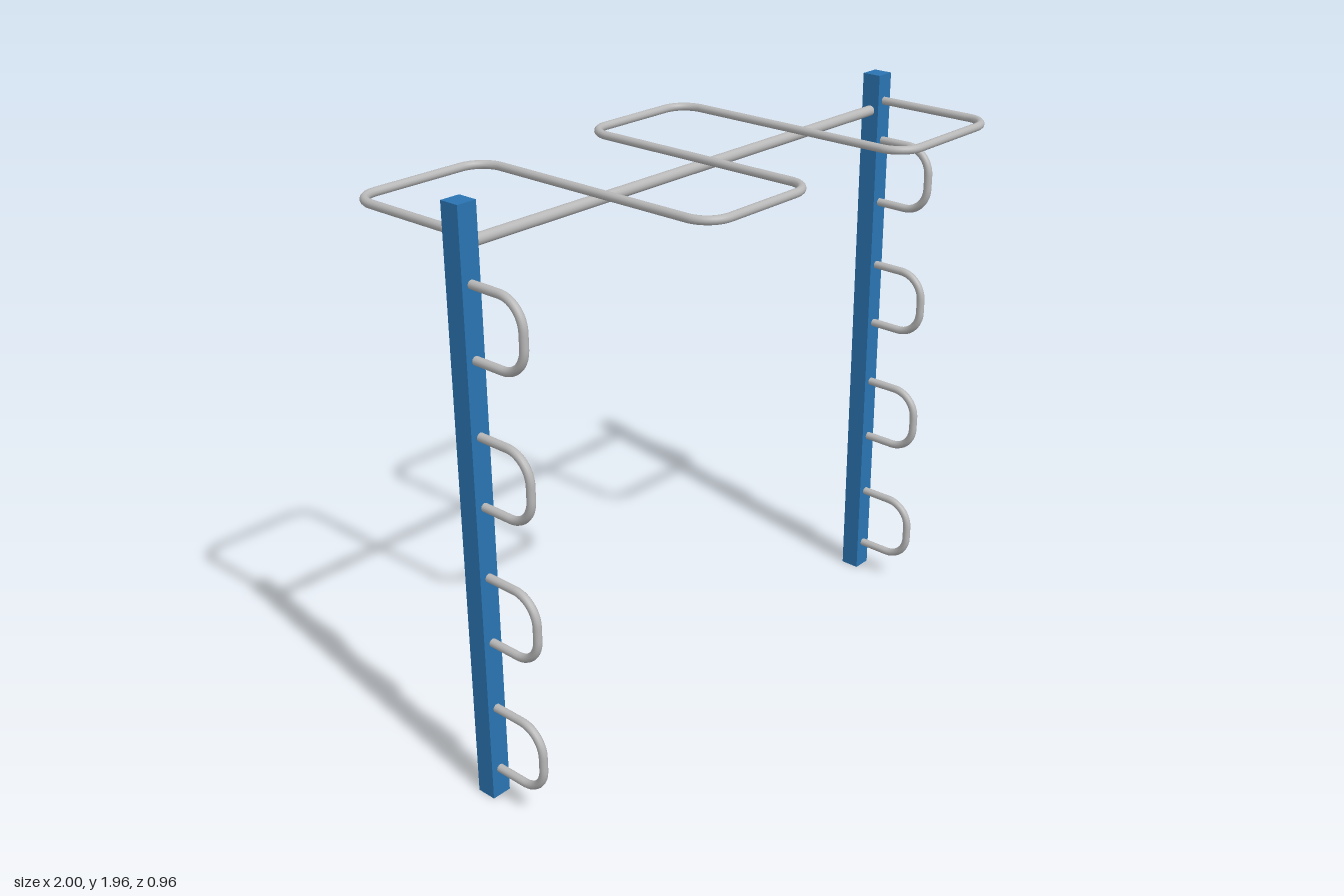
import * as THREE from 'three';

const POST_X = 0.966, POST_W = 0.068, POST_H = 1.955;

// Polyline with rounded corners of the given radius
function roundedPath(points, radius) {
  const path = new THREE.CurvePath();
  let last = points[0];
  for (let i = 1; i < points.length - 1; i++) {
    const p = points[i];
    const toPrev = points[i - 1].clone().sub(p).normalize();
    const toNext = points[i + 1].clone().sub(p).normalize();
    const at = (dir, d) => p.clone().addScaledVector(dir, d);
    const start = at(toPrev, radius), end = at(toNext, radius);
    const handle = radius * (1 - 0.5523);
    path.add(new THREE.LineCurve3(last, start));
    path.add(new THREE.CubicBezierCurve3(start, at(toPrev, handle), at(toNext, handle), end));
    last = end;
  }
  path.add(new THREE.LineCurve3(last, points[points.length - 1]));
  return path;
}

export function createModel() {
  const group = new THREE.Group();
  const blue = new THREE.MeshStandardMaterial({ name: 'bluePaint', color: 0x2a74b2 });
  const steel = new THREE.MeshStandardMaterial({ name: 'steel', color: 0xb8b8b8 });
  const v = (x, y, z) => new THREE.Vector3(x, y, z);

  const add = (name, geometry, material, x = 0, y = 0, z = 0) => {
    const mesh = new THREE.Mesh(geometry, material);
    mesh.name = name;
    mesh.position.set(x, y, z);
    group.add(mesh);
    return mesh;
  };

  // Two square posts, each with four climbing loops on the front
  const post = new THREE.BoxGeometry(POST_W, POST_H, POST_W);
  const loopPath = roundedPath([v(0, 0.1, 0), v(0, 0.1, 0.235), v(0, 0.327, 0.235), v(0, 0.327, 0)], 0.09);
  const loop = new THREE.TubeGeometry(loopPath, 64, 0.014, 12);
  for (const [side, s] of [['left', 1], ['right', -1]]) {
    add(side + 'Post', post, blue, s * POST_X, POST_H / 2, 0);
    for (let i = 0; i < 4; i++) {
      add(side + 'ClimbingLoop' + (i + 1), loop, steel, s * POST_X, i * 0.4645, 0);
    }
  }

  // Straight crossbar between the posts
  const bar = new THREE.CylinderGeometry(0.018, 0.018, 2 * POST_X, 16);
  add('crossbar', bar, steel, 0, 1.828, 0).rotation.z = Math.PI / 2;

  // Serpentine overhead rail weaving back and forth over the crossbar
  const xs = [-POST_X, -0.465, 0, 0.465, POST_X];
  const points = [v(xs[0], 0, 0)];
  for (let i = 0; i < 4; i++) {
    const z = i % 2 ? 0.466 : -0.466;
    points.push(v(xs[i], 0, z), v(xs[i + 1], 0, z));
  }
  points.push(v(xs[4], 0, 0));
  const rail = new THREE.TubeGeometry(roundedPath(points, 0.085), 400, 0.014, 12);
  add('serpentineRail', rail, steel, 0, 1.862, 0);

  return group;
}
